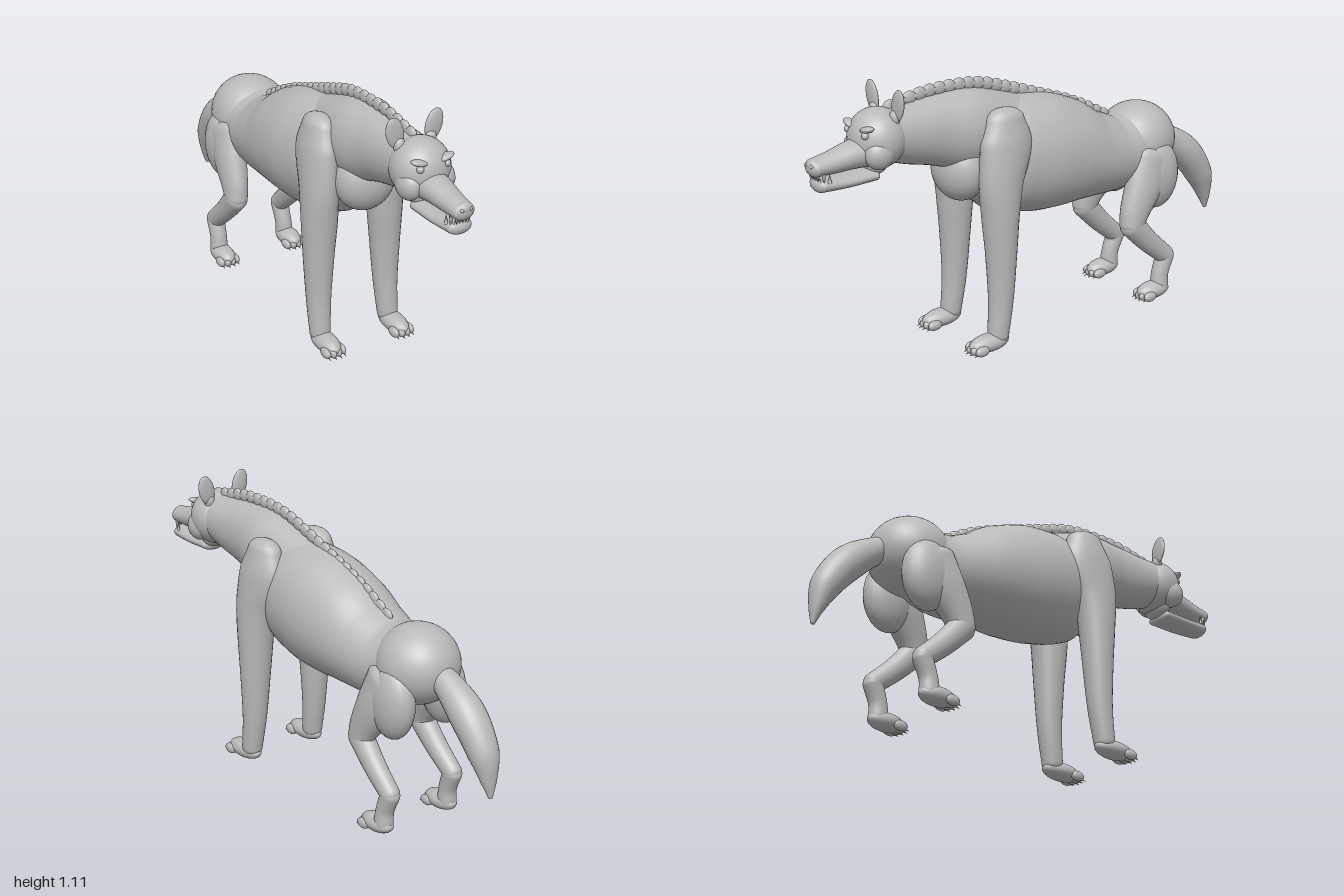
import * as THREE from 'three';

const grey = new THREE.MeshStandardMaterial({ color: 0xbababa });
grey.name = 'stone grey';

function add(parent, name, geometry) {
  const mesh = new THREE.Mesh(geometry, grey);
  mesh.name = name;
  parent.add(mesh);
  return mesh;
}

function blob(parent, name, [x, y, z], [rx, ry, rz], detail = 24) {
  const mesh = add(parent, name, new THREE.SphereGeometry(1, detail, Math.ceil(detail * 0.7)));
  mesh.position.set(x, y, z);
  mesh.scale.set(rx, ry, rz);
  return mesh;
}

function spike(parent, name, x, y, z, r, h, down = false) {
  const mesh = add(parent, name, new THREE.ConeGeometry(r, h, 8));
  mesh.position.set(x, y, z);
  if (down) mesh.rotation.x = Math.PI;
  return mesh;
}

// Smooth round-ended loft; each key is [x, y, z, half width, half depth]
function loft(keys, cap = 0.7, steps = 36, sides = 28) {
  const path = new THREE.CatmullRomCurve3(keys.map(k => new THREE.Vector3(k[0], k[1], k[2])));
  const size = new THREE.CatmullRomCurve3(keys.map(k => new THREE.Vector3(k[3], k[4], 0)));
  const rings = [];
  const ring = (t, offset, scale) => {
    const T = path.getTangent(t), r = size.getPoint(t);
    const X = new THREE.Vector3(1, 0, 0).addScaledVector(T, -T.x).normalize();
    const N = new THREE.Vector3().crossVectors(T, X);
    const c = path.getPoint(t).addScaledVector(T, offset * Math.min(r.x, r.y) * cap);
    rings.push({ c, X, N, a: r.x * scale, b: r.y * scale });
  };
  for (let i = 0; i < 6; i++) {
    const a = (i / 6) * Math.PI / 2;
    ring(0, -Math.cos(a), Math.max(Math.sin(a), 0.001));
  }
  for (let i = 0; i <= steps; i++) ring(i / steps, 0, 1);
  for (let i = 5; i >= 0; i--) {
    const a = (i / 6) * Math.PI / 2;
    ring(1, Math.cos(a), Math.max(Math.sin(a), 0.001));
  }
  const pos = [], index = [];
  rings.forEach(({ c, X, N, a, b }, i) => {
    for (let j = 0; j < sides; j++) {
      const w = (j / sides) * Math.PI * 2;
      const p = c.clone().addScaledVector(X, a * Math.cos(w)).addScaledVector(N, b * Math.sin(w));
      pos.push(p.x, p.y, p.z);
      if (i === rings.length - 1) continue;
      const k = (j + 1) % sides, o = i * sides, n = o + sides;
      index.push(o + j, o + k, n + k, o + j, n + k, n + j);
    }
  });
  const g = new THREE.BufferGeometry();
  g.setAttribute('position', new THREE.Float32BufferAttribute(pos, 3));
  g.setIndex(index);
  g.computeVertexNormals();
  return g;
}

// Paw with four toes and claws; z is the heel
function paw(parent, name, x, z, length) {
  const g = new THREE.Group();
  g.name = name;
  parent.add(g);
  blob(g, 'pawPad', [x, 0.038, z + length * 0.48], [0.044, 0.036, length * 0.48]);
  for (let i = 0; i < 4; i++) {
    const dx = (i - 1.5) * 0.023, front = z + length - Math.abs(i - 1.5) * 0.008;
    blob(g, 'toe', [x + dx, 0.026, front - 0.03], [0.015, 0.021, 0.033], 12);
    spike(g, 'claw', x + dx, 0.015, front, 0.006, 0.025).rotation.x = 1.9;
  }
}

export function createModel() {
  const model = new THREE.Group();
  model.name = 'beast';

  // Trunk
  add(model, 'torso', loft([
    [0, 0.73, 0.33, 0.1, 0.14], [0, 0.74, 0.24, 0.145, 0.2], [0, 0.73, 0.1, 0.185, 0.235],
    [0, 0.71, -0.03, 0.2, 0.24], [0, 0.68, -0.17, 0.195, 0.22], [0, 0.645, -0.3, 0.178, 0.18],
    [0, 0.625, -0.42, 0.16, 0.158], [0, 0.64, -0.53, 0.145, 0.145]], 0.5, 50, 40));
  blob(model, 'rump', [0, 0.655, -0.57], [0.16, 0.155, 0.165], 36);
  blob(model, 'chest', [0, 0.72, 0.33], [0.125, 0.13, 0.1], 32);
  add(model, 'neck', loft([
    [0, 0.92, 0.67, 0.098, 0.1], [0, 0.905, 0.56, 0.1, 0.12], [0, 0.895, 0.45, 0.107, 0.138],
    [0, 0.87, 0.3, 0.13, 0.16], [0, 0.81, 0.1, 0.12, 0.16]], 0.6, 40, 36));

  // Scalloped crest along the spine
  const crest = new THREE.Group();
  crest.name = 'crest';
  model.add(crest);
  const spine = new THREE.CatmullRomCurve3([
    [1.02, 0.64], [1.045, 0.5], [1.048, 0.36], [1.035, 0.23], [0.995, 0.1], [0.945, -0.04],
    [0.89, -0.19], [0.85, -0.28], [0.79, -0.39]].map(([y, z]) => new THREE.Vector3(0, y, z)));
  for (let i = 0; i < 25; i++) {
    const p = spine.getPointAt(i / 24);
    blob(crest, 'crestTuft', [0, p.y, p.z], [0.014, 0.027, 0.031], 14).rotation.x = -0.35;
  }
  add(crest, 'crestRidge', new THREE.TubeGeometry(spine, 40, 0.013, 8));

  // Tail
  add(model, 'tail', loft([
    [0, 0.66, -0.66, 0.045, 0.045], [0, 0.62, -0.74, 0.056, 0.055], [0, 0.535, -0.85, 0.07, 0.068],
    [0, 0.42, -0.935, 0.06, 0.058], [0, 0.32, -0.968, 0.032, 0.028], [0, 0.26, -0.98, 0.009, 0.009]]));

  // Head
  const head = new THREE.Group();
  head.name = 'head';
  model.add(head);
  blob(head, 'skull', [0, 0.915, 0.7], [0.115, 0.115, 0.11], 36);
  add(head, 'snout', loft([
    [0, 0.875, 0.73, 0.072, 0.062], [0, 0.872, 0.81, 0.062, 0.053], [0, 0.861, 0.9, 0.05, 0.042],
    [0, 0.855, 0.975, 0.044, 0.034]], 0.7));
  blob(head, 'nose', [0, 0.868, 0.978], [0.032, 0.023, 0.022]);
  add(head, 'lowerJaw', loft([
    [0, 0.786, 0.735, 0.06, 0.027], [0, 0.784, 0.85, 0.058, 0.027], [0, 0.788, 0.955, 0.05, 0.029]], 0.8));
  blob(head, 'jawHinge', [0, 0.825, 0.72], [0.065, 0.045, 0.045]);
  for (let i = -2; i <= 2; i++) {
    spike(head, 'upperTooth', i * 0.013, 0.819, 0.974, 0.006, 0.022, true);
    spike(head, 'lowerTooth', i * 0.013, 0.815, 0.966, 0.006, 0.018);
  }

  for (const s of [-1, 1]) {
    const side = s > 0 ? 'left' : 'right';

    // Face details
    spike(head, side + 'UpperFang', s * 0.036, 0.81, 0.955, 0.008, 0.055, true);
    spike(head, side + 'LowerFang', s * 0.043, 0.82, 0.935, 0.008, 0.04);
    blob(head, side + 'Cheek', [s * 0.068, 0.876, 0.735], [0.048, 0.06, 0.06]);
    blob(head, side + 'Eye', [s * 0.057, 0.951, 0.788], [0.014, 0.014, 0.014], 16);
    blob(head, side + 'Brow', [s * 0.055, 0.972, 0.778], [0.036, 0.012, 0.022], 16).rotation.z = s * 0.25;
    blob(head, side + 'Nostril', [s * 0.018, 0.868, 0.992], [0.008, 0.008, 0.008], 10);
    const ear = blob(head, side + 'Ear', [s * 0.083, 1.047, 0.66], [0.037, 0.062, 0.012]);
    ear.rotation.z = -s * 0.25;
    blob(head, side + 'EarRoot', [s * 0.066, 0.998, 0.665], [0.024, 0.03, 0.02], 16);

    // Front leg
    add(model, side + 'FrontLeg', loft([
      [s * 0.125, 0.915, 0.205, 0.055, 0.085], [s * 0.138, 0.82, 0.21, 0.065, 0.115],
      [s * 0.147, 0.68, 0.24, 0.068, 0.095], [s * 0.147, 0.55, 0.245, 0.07, 0.077],
      [s * 0.15, 0.4, 0.245, 0.062, 0.063], [s * 0.153, 0.2, 0.25, 0.049, 0.05],
      [s * 0.156, 0.06, 0.266, 0.041, 0.043]], 0.9));
    paw(model, side + 'FrontPaw', s * 0.157, 0.22, 0.19);

    // Hind leg
    blob(model, side + 'Haunch', [s * 0.125, 0.53, -0.575], [0.07, 0.145, 0.105]);
    add(model, side + 'Thigh', loft([
      [s * 0.125, 0.6, -0.55, 0.06, 0.1], [s * 0.135, 0.5, -0.5, 0.062, 0.09],
      [s * 0.145, 0.4, -0.445, 0.052, 0.068], [s * 0.15, 0.345, -0.425, 0.046, 0.054]], 0.8));
    add(model, side + 'Shank', loft([
      [s * 0.15, 0.35, -0.425, 0.046, 0.054], [s * 0.153, 0.26, -0.51, 0.042, 0.046],
      [s * 0.156, 0.175, -0.607, 0.037, 0.04]], 0.9));
    add(model, side + 'Hock', loft([
      [s * 0.156, 0.175, -0.607, 0.037, 0.04], [s * 0.158, 0.1, -0.58, 0.035, 0.036],
      [s * 0.16, 0.045, -0.575, 0.037, 0.04]], 0.8));
    paw(model, side + 'HindPaw', s * 0.16, -0.62, 0.165);
  }
  return model;
}
